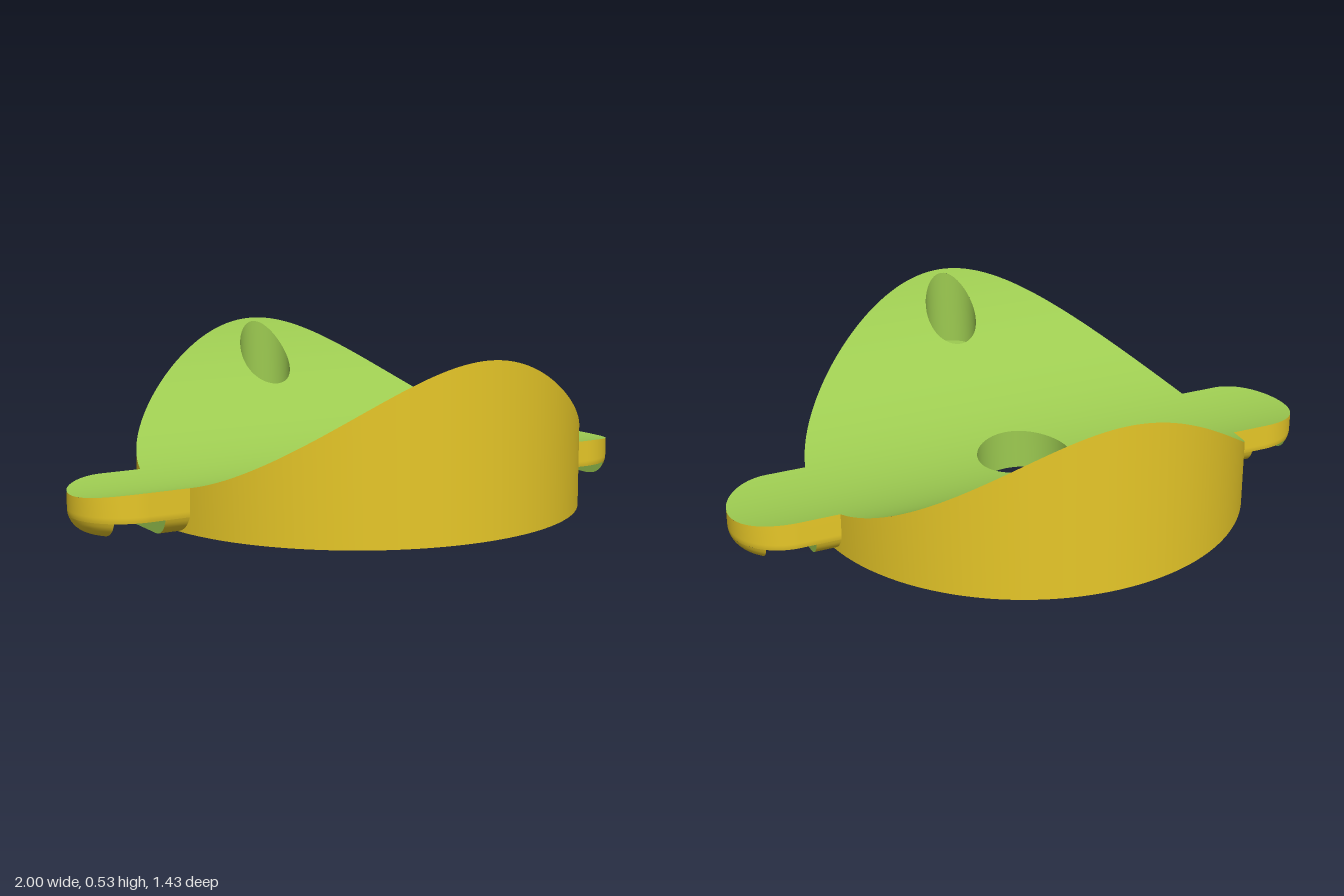
import * as THREE from 'three';

const R = 0.717, SADDLE = 0.83, LOW = 0.122;        // disc radius, saddle arc radius, lowest height
const W = 0.175, E = 0.825, F = 0.07;               // tab half width, end-arc centre, bottom fillet
const S0 = 0.775, S1 = 0.925, SY = 0.052;           // slot start, end and height
const FLOOR = 0.26;                                 // counterbore floor
const HOLE_Z = 0.622, BORE = 0.088, SCREW = 0.053, CENTRE = 0.155;

const root = (v) => Math.sqrt(Math.max(0, v));
const mix = THREE.MathUtils.lerp;
const height = (z) => LOW + SADDLE - root(SADDLE * SADDLE - z * z);
const tabRadius = (y) => W - (y < F ? F - root(F * F - (F - y) ** 2) : 0);

// Surface from a rule f(u, v) -> [x, y, z]; it faces along du x dv
function grid(nu, nv, f) {
  const pos = [], idx = [];
  for (let i = 0; i <= nu; i++) {
    for (let j = 0; j <= nv; j++) {
      pos.push(...f(i / nu, j / nv));
      if (i < nu && j < nv) {
        const a = i * (nv + 1) + j, b = a + nv + 1;
        idx.push(a, b, a + 1, b, b + 1, a + 1);
      }
    }
  }
  const g = new THREE.BufferGeometry();
  g.setAttribute('position', new THREE.Float32BufferAttribute(pos, 3));
  g.setIndex(idx);
  g.computeVertexNormals();
  return g;
}

// Upright round wall; rising angles face inward, falling angles outward
function wall(cz, r, t0, t1, bottom, top, n = 96) {
  return grid(n, 1, (u, v) => {
    const t = mix(t0, t1, u), z = cz + r * Math.sin(t);
    return [r * Math.cos(t), v ? top(z) : bottom, z];
  });
}

export function createModel() {
  const yellow = new THREE.MeshStandardMaterial({ color: 0xf9d72c });
  yellow.name = 'yellow';
  const green = new THREE.MeshStandardMaterial({ color: 0x9dcb51 });
  green.name = 'green';

  const model = new THREE.Group();
  model.name = 'saddleMount';
  const add = (parent, name, geometry, material) => {
    const m = new THREE.Mesh(geometry, material);
    m.name = name;
    parent.add(m);
    return m;
  };

  // Saddle top of disc and tabs, in strips between the edges of the holes
  const holes = [[-HOLE_Z, BORE], [0, CENTRE], [HOLE_Z, BORE]];
  const cuts = [-R, -W, W, R, ...holes.flatMap(([z, r]) => [z - r, z + r])].sort((a, b) => a - b);
  const saddle = new THREE.Group();
  saddle.name = 'saddleTop';
  model.add(saddle);
  for (let k = 0; k + 1 < cuts.length; k++) {
    const mid = (cuts[k] + cuts[k + 1]) / 2;
    const outer = (z) => (Math.abs(mid) < W ? E + root(W * W - z * z) : root(R * R - z * z));
    const hole = holes.find(([z, r]) => Math.abs(mid - z) < r);
    const inner = (z) => root(hole[1] ** 2 - (z - hole[0]) ** 2);
    const spans = hole
      ? [[(z) => -outer(z), (z) => -inner(z)], [inner, outer]]
      : [[(z) => -outer(z), outer]];
    for (const [from, to] of spans) {
      const g = grid(28, 1, (u, v) => {
        const z = mix(cuts[k], cuts[k + 1], (1 - Math.cos(Math.PI * u)) / 2);
        return [v ? to(z) : from(z), height(z), z];
      });
      const p = g.attributes.position, n = g.attributes.normal;
      for (let i = 0; i < p.count; i++) {
        const z = p.getZ(i);
        n.setXYZ(i, 0, root(SADDLE * SADDLE - z * z) / SADDLE, -z / SADDLE);
      }
      add(saddle, 'saddleStrip', g, green);
    }
  }

  // Underside with its three holes
  const disc = new THREE.Shape().absarc(0, 0, R, 0, Math.PI * 2);
  for (const [z, r] of [[-HOLE_Z, SCREW], [0, CENTRE], [HOLE_Z, SCREW]]) {
    disc.holes.push(new THREE.Path().absarc(0, z, r, 0, Math.PI * 2, true));
  }
  add(model, 'underside', new THREE.ShapeGeometry(disc, 64).rotateX(Math.PI / 2), yellow);

  // Hole walls and counterbore floors
  const turn = Math.PI * 2;
  add(model, 'centreHole', wall(0, CENTRE, 0, turn, 0, height), green);
  for (const z of [-HOLE_Z, HOLE_Z]) {
    add(model, 'counterbore', wall(z, BORE, 0, turn, FLOOR, height, 64), green);
    add(model, 'screwHole', wall(z, SCREW, 0, turn, 0, () => FLOOR, 48), green);
    const ring = new THREE.RingGeometry(SCREW, BORE, 64).rotateX(-Math.PI / 2).translate(0, FLOOR, z);
    add(model, 'counterboreFloor', ring, green);
  }

  // Curved outer walls and slotted tabs, the same on both sides
  const a0 = Math.asin(W / R);
  const levels = [SY, SY + 0.006, SY + 0.012, F];
  for (const turned of [0, Math.PI]) {
    const side = add(model, 'outerWall', wall(0, R, Math.PI - a0, a0, 0, height), yellow);
    side.rotation.y = turned;

    const tab = new THREE.Group();
    tab.name = turned ? 'rightTab' : 'leftTab';
    tab.rotation.y = turned;
    model.add(tab);

    // Rim above the slot
    const N = 50;
    add(tab, 'tabRim', grid(N, 4, (u, v) => {
      const i = Math.round(u * N), j = Math.round(v * 4);
      const r = tabRadius(j < 4 ? levels[j] : F);
      const t = mix(Math.PI / 2, -Math.PI / 2, THREE.MathUtils.clamp((i - 1) / (N - 2), 0, 1));
      const z = r * Math.sin(t);
      const x = i === 0 || i === N ? root(R * R - r * r) : E + r * Math.cos(t);
      return [x, j < 4 ? levels[j] : height(z), z];
    }), yellow);

    // Rounded feet on both sides of the slot
    const low = (v) => SY * v * v;
    const lip = (r) => root(r * r - (S1 - E) ** 2);
    add(tab, 'tabTip', grid(32, 10, (u, v) => {
      const r = tabRadius(low(v)), a = Math.acos((S1 - E) / r) * (1 - 2 * u);
      return [E + r * Math.cos(a), low(v), r * Math.sin(a)];
    }), yellow);
    for (const s of [1, -1]) {
      add(tab, 'tabRoot', grid(1, 10, (u, v) => {
        const r = tabRadius(low(v));
        return [mix(root(R * R - r * r), S0, s > 0 ? u : 1 - u), low(v), s * r];
      }), yellow);
    }
    const b = tabRadius(0);
    add(tab, 'tabRootBottom', grid(1, 12, (u, v) => {
      const z = mix(-b, b, v);
      return [mix(root(R * R - z * z), S0, u), 0, z];
    }), yellow);
    add(tab, 'tabTipBottom', grid(1, 8, (u, v) => {
      const z = mix(-lip(b), lip(b), v);
      return [mix(S1, E + root(b * b - z * z), u), 0, z];
    }), yellow);

    // Disc wall showing below the tab fillet
    add(tab, 'wallUnderTab', wall(0, R, a0, -a0, 0, (z) => {
      const i = W - Math.abs(z);
      return i < F ? F - root(F * F - (F - i) ** 2) : 0;
    }, 48), yellow);

    // Slot faces
    add(tab, 'slotOuterWall', grid(1, 10, (u, v) => [S1, low(v), lip(tabRadius(low(v))) * (2 * u - 1)]), green);
    add(tab, 'slotInnerWall', grid(1, 10, (u, v) => [S0, low(v), tabRadius(low(v)) * (1 - 2 * u)]), green);
    add(tab, 'slotCeiling', grid(18, 1, (u, v) => {
      const x = mix(S0, S1, u);
      return [x, SY, root(tabRadius(SY) ** 2 - Math.max(0, x - E) ** 2) * (2 * v - 1)];
    }), green);
  }
  return model;
}
